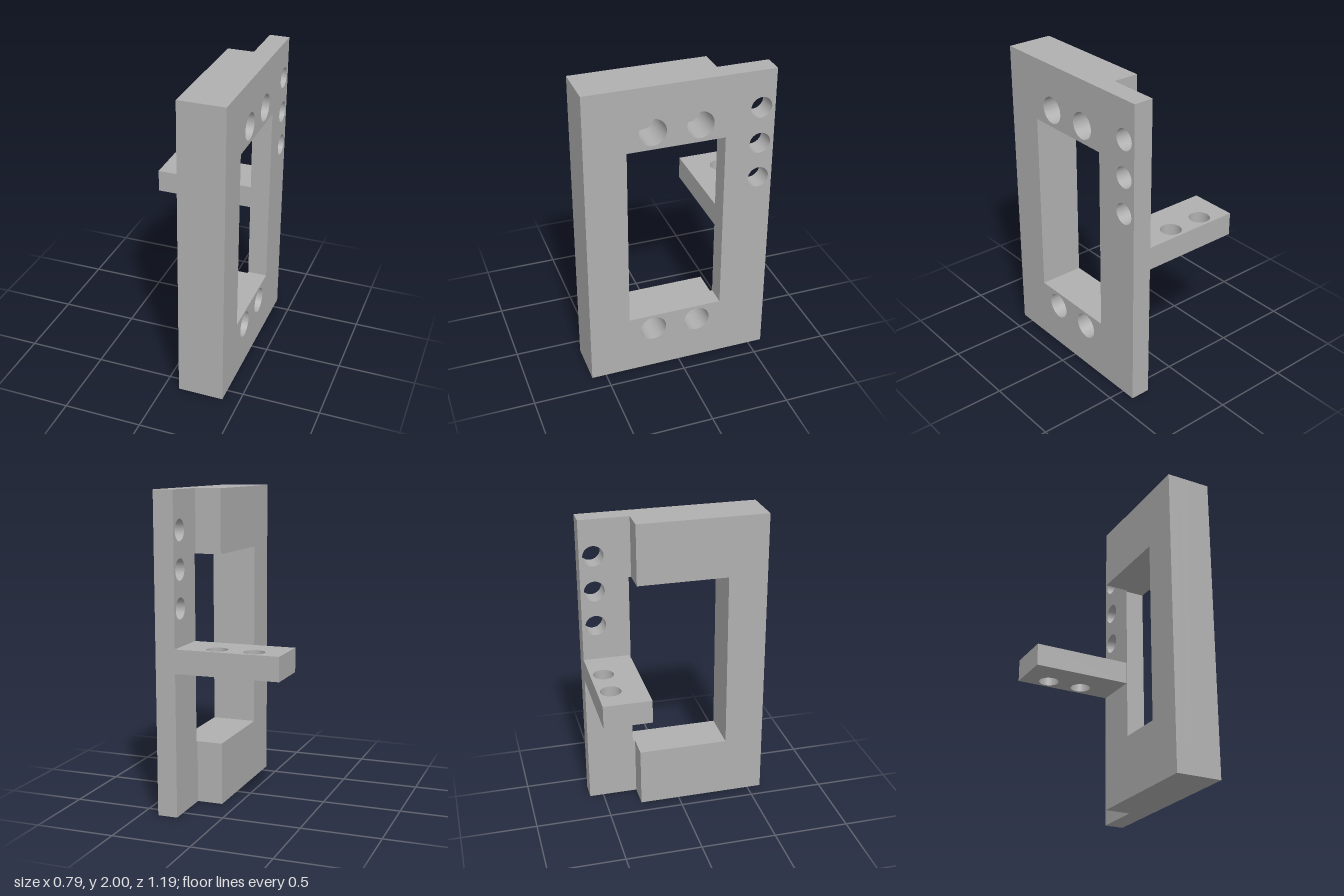
import * as THREE from 'three';
import { toCreasedNormals } from 'three/addons/utils/BufferGeometryUtils.js';

const grey = new THREE.MeshStandardMaterial({ color: 0xb0b0b0 });
grey.name = 'machined grey';

const X_BACK = 0.098, X_FLOOR = 0.18, X_STEP = 0.265, X_FACE = 0.393;
const Z = 0.593, Z_STEP = -0.265;

function polygon(points, ShapeType = THREE.Shape) {
  return new ShapeType(points.map(([u, v]) => new THREE.Vector2(u, v)));
}

function bore(shape, u, v, r) {
  const hole = new THREE.Path();
  hole.absarc(u, v, r, 0, Math.PI * 2, true);
  shape.holes.push(hole);
}

function extrude(shape, depth) {
  const g = new THREE.ExtrudeGeometry(shape, { depth, bevelEnabled: false, curveSegments: 40 });
  return toCreasedNormals(g, 0.6);
}

// Shapes for the upright are drawn in (-z, y) and extruded along x
function upright(name, shape, x0, x1) {
  const g = extrude(shape, x1 - x0).rotateY(Math.PI / 2).translate(x0, 0, 0);
  const mesh = new THREE.Mesh(g, grey);
  mesh.name = name;
  return mesh;
}

// Four blind sockets above and below the window
function addSockets(shape) {
  for (const z of [0.173, -0.122]) for (const y of [0.298, 1.71]) bore(shape, -z, y, 0.085);
}

// Thick part of the frame: the window breaks through its stepped edge
function thickOutline() {
  return polygon([[-Z, 0], [-Z_STEP, 0], [-Z_STEP, 0.4], [-0.333, 0.4],
    [-0.333, 1.6], [-Z_STEP, 1.6], [-Z_STEP, 2], [-Z, 2]]);
}

export function createModel() {
  const group = new THREE.Group();
  group.name = 'mountingBracket';

  // Full-width face plate with window, sockets and three through holes
  const face = polygon([[-Z, 0], [Z, 0], [Z, 2], [-Z, 2]]);
  face.holes.push(polygon([[-0.333, 0.4], [-0.333, 1.6], [0.281, 1.6], [0.281, 0.4]], THREE.Path));
  addSockets(face);
  for (const y of [1.29, 1.525, 1.76]) bore(face, 0.504, y, 0.067);
  group.add(upright('facePlate', face, X_STEP, X_FACE));

  // Thick frame behind it: a bored layer, then a solid layer closing the sockets
  const bored = thickOutline();
  addSockets(bored);
  group.add(upright('boredFrame', bored, X_FLOOR, X_STEP));
  group.add(upright('solidFrame', thickOutline(), X_BACK, X_FLOOR));

  // Horizontal arm with two vertical through holes, drawn in (x, -z)
  const arm = polygon([[-X_FACE, 0.288], [X_STEP, 0.288], [X_STEP, Z], [-X_FACE, Z]]);
  for (const x of [-0.209, 0.026]) bore(arm, x, 0.508, 0.066);
  const armMesh = new THREE.Mesh(
    extrude(arm, 0.15).rotateX(-Math.PI / 2).translate(0, 0.905, 0), grey);
  armMesh.name = 'sideArm';
  group.add(armMesh);

  return group;
}
